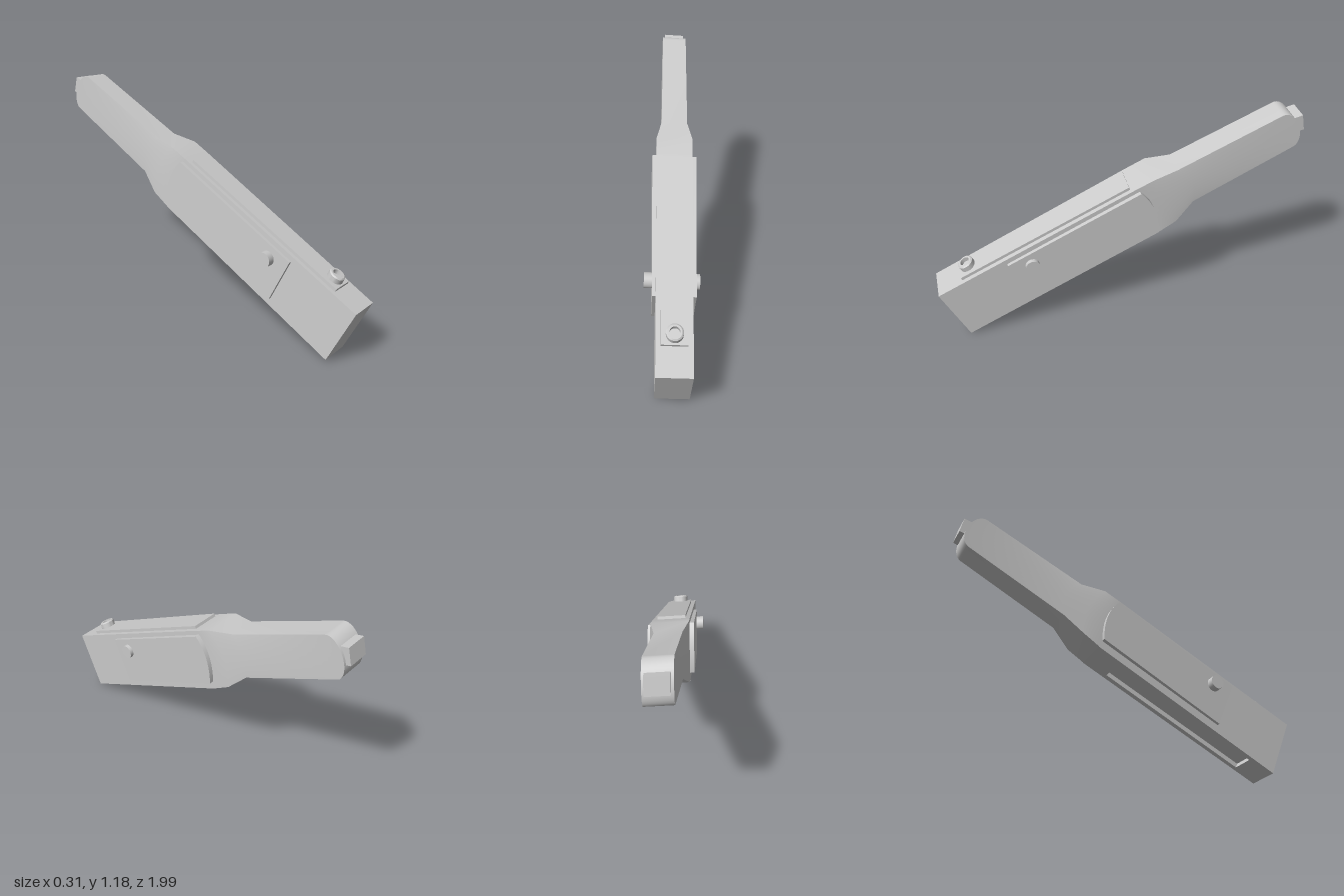
import * as THREE from 'three';
import { toCreasedNormals } from 'three/addons/utils/BufferGeometryUtils.js';

// Local frame: x across, y up from the underside, z = -s where s runs from the nose to the tip
const frame = new THREE.Matrix4().makeBasis(
  new THREE.Vector3(0.996, -0.083, 0.014),
  new THREE.Vector3(0.015, 0.912, 0.41),
  new THREE.Vector3(-0.05, -0.453, 0.89)
).setPosition(-0.035, 0.0075, 0.86);

const material = new THREE.MeshStandardMaterial({ color: 0xcccccc });

// Loft of slab sections: [s, bottom, top, half width, backward bulge, bulge power]
function loft(stations) {
  const n = 16, m = 2 * (n + 1), pos = [], idx = [];
  for (const [s, v0, v1, h, bulge = 0, p = 1] of stations) {
    for (let j = 0; j < m; j++) {
      const a = Math.PI * (j <= n ? j : m - 1 - j) / n;
      const v = v0 + (v1 - v0) * (1 - Math.cos(a)) / 2;
      pos.push(j <= n ? h : -h, v, -(s + bulge * Math.pow(Math.max(0, Math.sin(a)), p)));
    }
  }
  for (let i = 0; i < stations.length - 1; i++) {
    for (let j = 0; j < m; j++) {
      const a = i * m + j, b = i * m + (j + 1) % m, d = a + m, c = b + m;
      idx.push(a, d, b, b, d, c);
    }
  }
  const e = (stations.length - 1) * m;
  for (let j = 0; j < n; j++) {
    const l = m - 1 - j;
    idx.push(j, j + 1, l - 1, j, l - 1, l);
    idx.push(e + j, e + l - 1, e + j + 1, e + j, e + l, e + l - 1);
  }
  const g = new THREE.BufferGeometry();
  g.setAttribute('position', new THREE.Float32BufferAttribute(pos, 3));
  g.setIndex(idx);
  return toCreasedNormals(g, 0.45);
}

const polygon = pts => pts.map(p => new THREE.Vector2(...p));
const extrude = (shape, depth) =>
  new THREE.ExtrudeGeometry(shape, { depth, bevelEnabled: false, curveSegments: 20 });

export function createModel() {
  const model = new THREE.Group();
  model.name = 'handheldDevice';
  const add = (name, geometry) => {
    const mesh = new THREE.Mesh(geometry.applyMatrix4(frame), material);
    mesh.name = name;
    model.add(mesh);
  };

  // Main body, leaving room below for the recessed underside
  add('body', loft([[0, 0.025, 0.34, 0.09], [1.2, 0.025, 0.332, 0.097]]));

  // Curved shoulder narrowing into the slim, round-ended arm
  add('shoulderAndArm', loft([
    [1.2, 0.002, 0.332, 0.097],
    [1.31, 0.013, 0.329, 0.098, 0.04, 2],
    [1.44, 0.054, 0.291, 0.071, 0.045, 2],
    [2.04, 0.052, 0.267, 0.0675, 0.065, 1],
  ]));

  // Underside frame around a shallow rectangular recess
  const under = new THREE.Shape(polygon([[-0.09, 0], [0.09, 0], [0.097, 1.2], [-0.097, 1.2]]));
  under.holes.push(new THREE.Path(polygon([[-0.062, 0.15], [-0.065, 1.06], [0.065, 1.06], [0.062, 0.15]])));
  add('undersideFrame', extrude(under, 0.025).rotateX(-Math.PI / 2));

  // Raised plate on the top
  const plate = new THREE.Shape(polygon([[-0.066, 0.149], [0.066, 0.149], [0.073, 1.17], [-0.073, 1.17]]));
  add('topPlate', extrude(plate, 0.036).rotateX(-Math.PI / 2).translate(0, 0.321, 0).rotateX(-0.008));

  // Side panels with curved rear edges, and a round button on each
  for (const side of [1, -1]) {
    const label = side > 0 ? 'left' : 'right';
    const panel = new THREE.Shape();
    panel.moveTo(0.413, 0.043);
    panel.lineTo(1.2, 0.043);
    panel.quadraticCurveTo(1.27, 0.19, 1.215, 0.31);
    panel.lineTo(0.413, 0.31);
    panel.closePath();
    add(label + 'Panel', toCreasedNormals(extrude(panel, 0.035), 0.45)
      .rotateY(Math.PI / 2)
      .translate(side > 0 ? 0.07 : -0.105, 0, 0)
      .rotateY(-side * 0.0125));

    const end = side > 0 ? 0.132 : 0.152;
    add(label + 'Button', new THREE.CylinderGeometry(0.039, 0.039, end - 0.08, 32)
      .rotateZ(Math.PI / 2)
      .translate(side * (end + 0.08) / 2, 0.238, -0.525));
  }

  // Hollow round knob on the plate
  const knob = polygon([[0, 0.015], [0.026, 0.015], [0.026, 0.04], [0.036, 0.04], [0.043, 0.034], [0.043, 0]]);
  add('topKnob', toCreasedNormals(new THREE.LatheGeometry(knob.reverse(), 32), 0.45)
    .translate(0, 0.35, -0.204));

  // Small tab across the rounded tip
  add('tipTab', new THREE.BoxGeometry(0.11, 0.088, 0.07)
    .rotateX(-0.2)
    .translate(0, 0.16, -2.1));

  return model;
}
